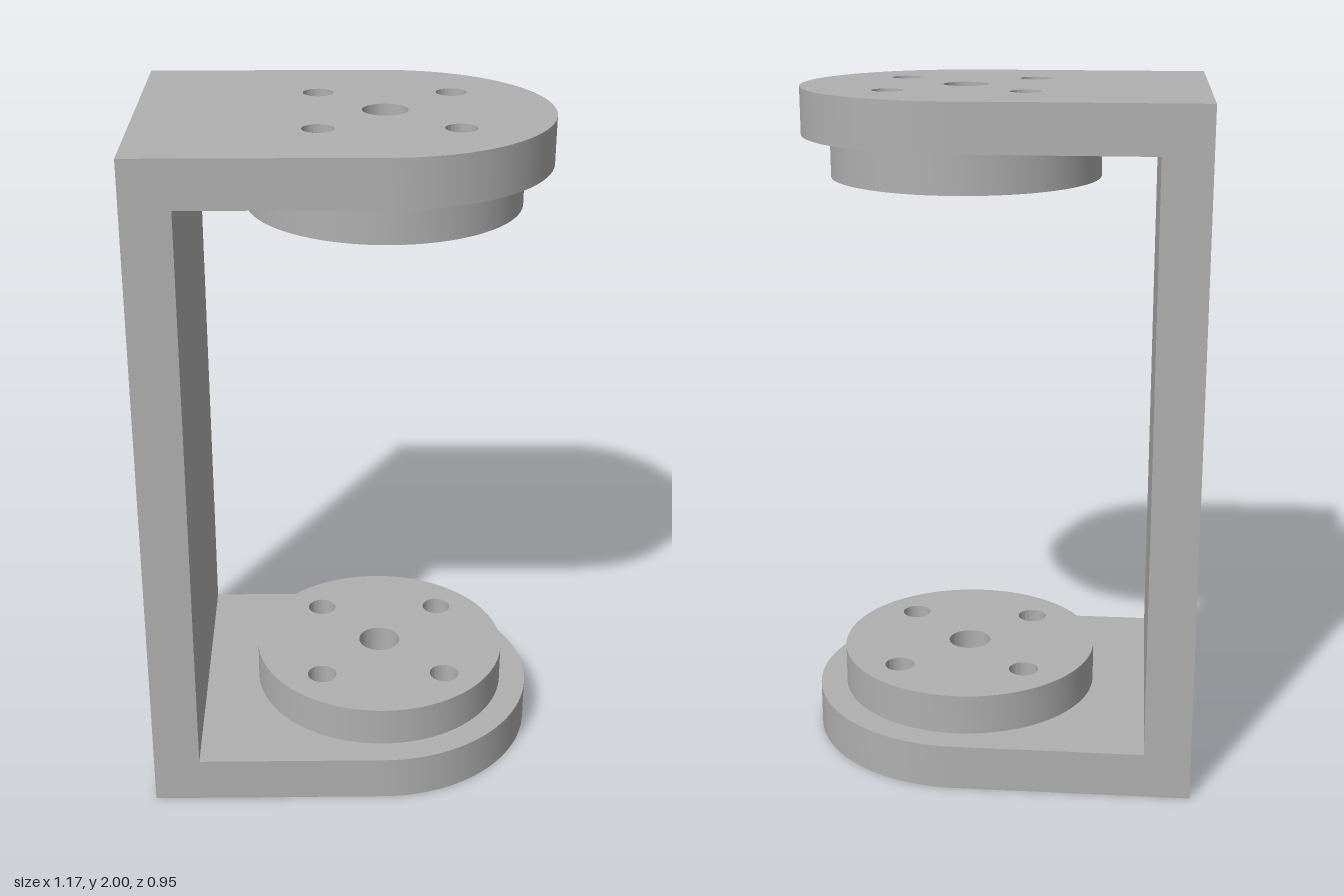
import * as THREE from 'three';
import { toCreasedNormals } from 'three/addons/utils/BufferGeometryUtils.js';

const BACK = -0.584, AXIS = 0.109, HALF = 0.475; // wall side, disc axis, half depth
const THICK = 0.136, PAD = 0.122, PAD_RADIUS = 0.393, HEIGHT = 2;

export function createModel() {
  const model = new THREE.Group();
  const grey = new THREE.MeshStandardMaterial({ color: 0xb0b0b0 });
  grey.name = 'grey metal';

  // centre bore and four bolt holes, shared by plates and pads
  const drill = (shape) => {
    const hole = (x, z, r) => shape.holes.push(new THREE.Path().absarc(x, z, r, 0, Math.PI * 2, true));
    hole(AXIS, 0, 0.065);
    for (const x of [-0.077, 0.306]) for (const z of [-0.196, 0.196]) hole(x, z, 0.0445);
    return shape;
  };

  // horizontal slab extruded upwards from height y
  const slab = (name, shape, depth, y) => {
    const geo = new THREE.ExtrudeGeometry(shape, { depth, bevelEnabled: false, curveSegments: 40 });
    geo.rotateX(-Math.PI / 2);
    const mesh = new THREE.Mesh(toCreasedNormals(geo, 0.6), grey);
    mesh.name = name;
    mesh.position.y = y;
    model.add(mesh);
  };

  // plate: square at the wall, round at the free end
  const plate = new THREE.Shape();
  plate.moveTo(BACK, -HALF);
  plate.lineTo(AXIS, -HALF);
  plate.absarc(AXIS, 0, HALF, -Math.PI / 2, Math.PI / 2, false);
  plate.lineTo(BACK, HALF);
  plate.closePath();
  drill(plate);

  const disc = drill(new THREE.Shape().absarc(AXIS, 0, PAD_RADIUS, 0, Math.PI * 2, false));

  slab('bottomPlate', plate, THICK, 0);
  slab('bottomPad', disc, PAD, THICK);
  slab('topPlate', plate, THICK, HEIGHT - THICK);
  slab('topPad', disc, PAD, HEIGHT - THICK - PAD);

  // upright wall joining the plates
  const wall = new THREE.Mesh(new THREE.BoxGeometry(THICK, HEIGHT - 2 * THICK, HALF * 2), grey);
  wall.name = 'wall';
  wall.position.set(BACK + THICK / 2, HEIGHT / 2, 0);
  model.add(wall);

  return model;
}
